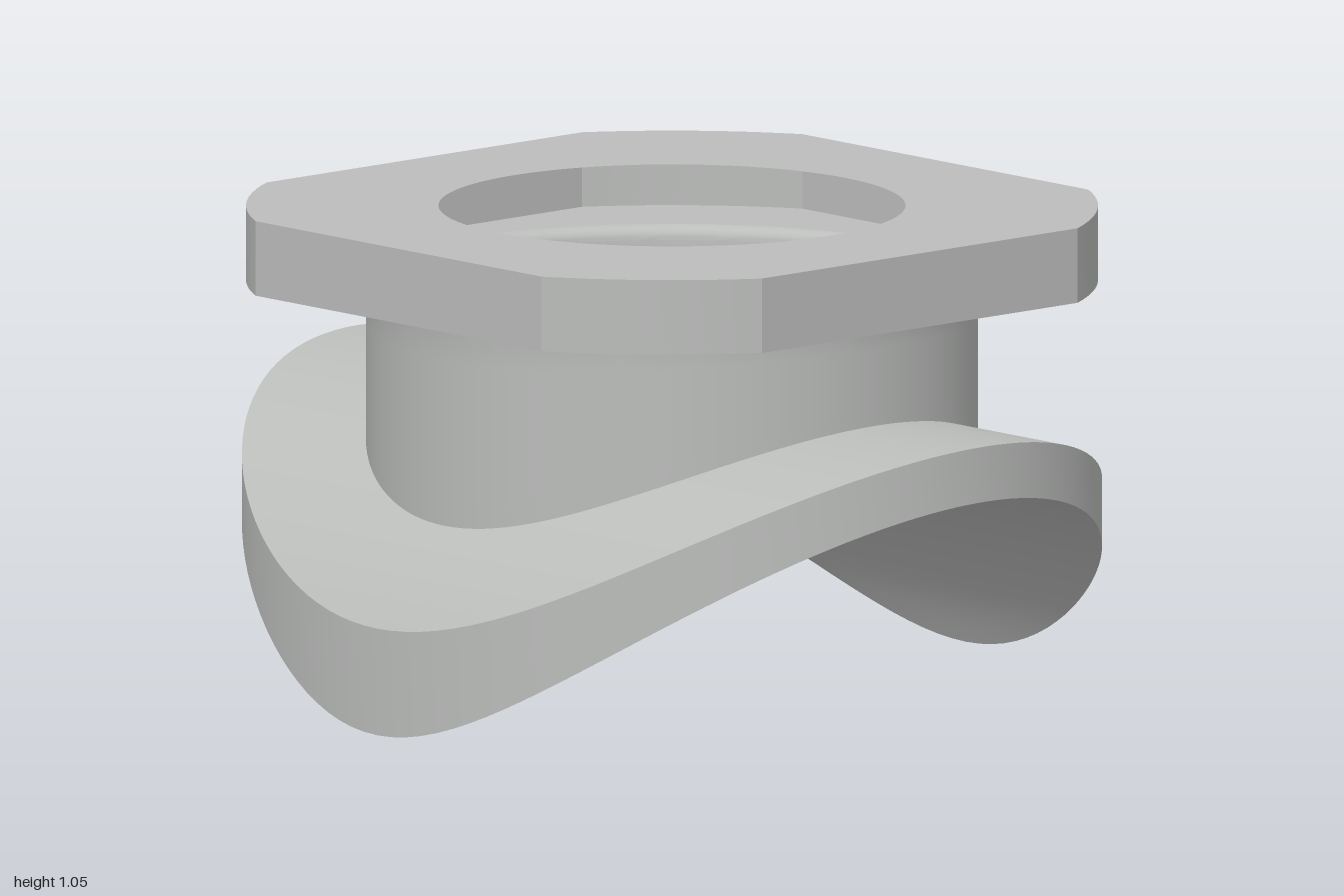
import * as THREE from 'three';
import { ParametricGeometry } from 'three/addons/geometries/ParametricGeometry.js';
import { toCreasedNormals } from 'three/addons/utils/BufferGeometryUtils.js';

const SEGMENTS = 144;
const BORE = 0.5, NECK = 0.655, FILLET = 0.03;
const FLANGE_TOP = 1.052, FLANGE_BOTTOM = 0.89;
const AXIS_Y = -0.4, R_UNDER = 0.94, R_OVER = 1.06; // pipe that the saddle sits on

// height of a horizontal pipe surface (running along z) at x
const pipeY = (radius, x) => AXIS_Y + Math.sqrt(radius * radius - x * x);

// loops around the vertical axis: angle -> [x, y, z]
const circle = (r, y) => (t) => [r * Math.cos(t), y, r * Math.sin(t)];
const flangeLoop = (y) => (t) => {
  const r = Math.min(0.912, 0.79 / Math.max(Math.abs(Math.cos(t)), Math.abs(Math.sin(t))));
  return [r * Math.cos(t), y, r * Math.sin(t)];
};
const onPipe = (radius, rx, rz) => (t) => {
  const x = rx * Math.cos(t);
  return [x, pipeY(radius, x), rz * Math.sin(t)];
};

export function createModel() {
  const group = new THREE.Group();
  const grey = new THREE.MeshStandardMaterial({ color: 0xbbbdbb, side: THREE.DoubleSide });
  grey.name = 'plain grey';

  // surface swept around the axis; point(t, v) gives [x, y, z]
  function addSurface(name, stacks, point) {
    const geometry = new ParametricGeometry((u, v, target) => {
      target.set(...point(u * Math.PI * 2, v));
    }, SEGMENTS, stacks);
    const mesh = new THREE.Mesh(toCreasedNormals(geometry, 0.35), grey);
    mesh.name = name;
    group.add(mesh);
  }

  // straight strip from loop a to loop b
  const addStrip = (name, a, b) => addSurface(name, 1, (t, v) => {
    const p = a(t), q = b(t);
    return p.map((c, i) => c + (q[i] - c) * v);
  });

  // curved sheet on the pipe, between a circle and the elliptical outline
  const addSheet = (name, radius, r0, outward) => addSurface(name, 16, (t, v) => {
    const k = outward ? v : 1 - v;
    return onPipe(radius, r0 + (0.85 - r0) * k, r0 + (1 - r0) * k)(t);
  });

  // flange: square plate with rounded-off corners
  addStrip('flangeTop', circle(BORE, FLANGE_TOP), flangeLoop(FLANGE_TOP));
  addStrip('flangeRim', flangeLoop(FLANGE_TOP), flangeLoop(FLANGE_BOTTOM));
  addStrip('flangeUnderside', flangeLoop(FLANGE_BOTTOM), circle(NECK + FILLET, FLANGE_BOTTOM));

  // neck: small fillet below the flange, then a tube cut to the saddle
  addSurface('neck', 12, (t, v) => {
    const a = Math.min(v * 2, 1) * Math.PI / 2;
    const r = NECK + FILLET * (1 - Math.sin(a));
    const x = r * Math.cos(t), z = r * Math.sin(t);
    const y = FLANGE_BOTTOM - FILLET * (1 - Math.cos(a));
    return [x, y + (pipeY(R_OVER, x) - y) * Math.max(v * 2 - 1, 0), z];
  });

  // saddle: curved plate with an elliptical outline
  addSheet('saddleTop', R_OVER, NECK, true);
  addStrip('saddleEdge', onPipe(R_OVER, 0.85, 1), onPipe(R_UNDER, 0.85, 1));
  addSheet('saddleUnderside', R_UNDER, BORE, false);

  return group;
}
